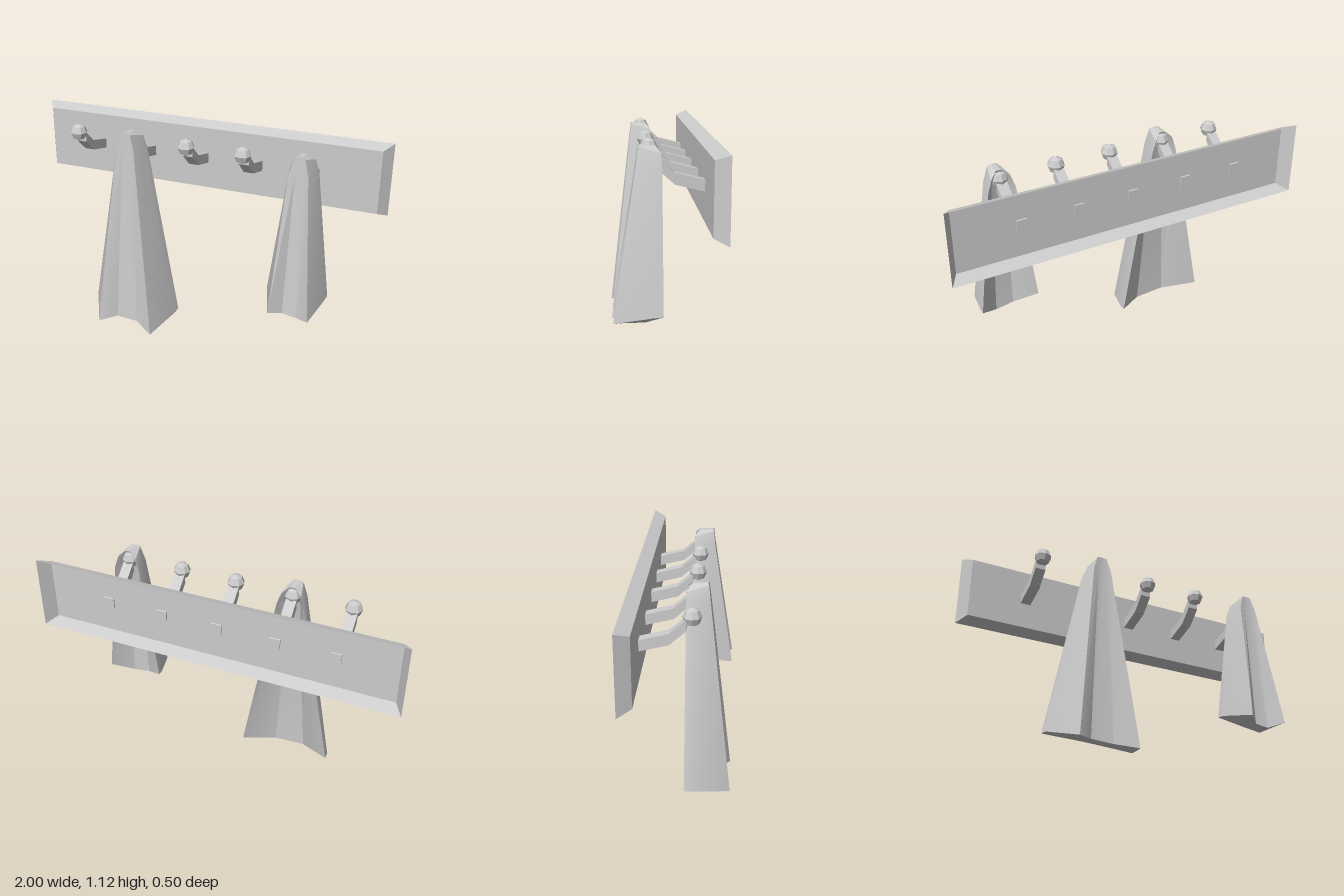
import * as THREE from 'three';
import { toCreasedNormals } from 'three/addons/utils/BufferGeometryUtils.js';

const grey = new THREE.MeshStandardMaterial({ color: 0xcccccc, side: THREE.DoubleSide });
grey.name = 'grey';

// Skin a list of equal-length loops (counter-clockwise seen from the last loop's end).
function loft(loops, endCap, startCap, crease) {
  const n = loops[0].length;
  const index = [];
  for (let r = 0; r < loops.length - 1; r++) {
    for (let i = 0; i < n; i++) {
      const a = r * n + i, b = r * n + (i + 1) % n;
      index.push(a, b, b + n, a, b + n, a + n);
    }
  }
  const last = (loops.length - 1) * n;
  for (const [a, b, c] of endCap) index.push(last + a, last + b, last + c);
  for (const [a, b, c] of startCap) index.push(a, c, b);
  const geometry = new THREE.BufferGeometry();
  geometry.setAttribute('position', new THREE.Float32BufferAttribute(loops.flat(2), 3));
  geometry.setIndex(index);
  return toCreasedNormals(geometry, crease);
}

function addMesh(parent, name, geometry) {
  const mesh = new THREE.Mesh(geometry, grey);
  mesh.name = name;
  parent.add(mesh);
  return mesh;
}

const quadCap = [[0, 1, 2], [0, 2, 3]];
const rect = (hx, y0, y1, z0, z1 = z0) =>
  [[-hx, y0, z0], [hx, y0, z0], [hx, y1, z1], [-hx, y1, z1]];

// Towel section: back, side, front and middle of the left half, mirrored, then the rear fold.
const foldCap = [[0, 1, 9], [1, 2, 3], [1, 3, 9], [9, 3, 4], [9, 4, 8], [8, 4, 6], [4, 5, 6], [8, 6, 7]];
function section(x, [back, side, front, mid, fold]) {
  const left = ([dx, y, z]) => [x - dx, y, z];
  const right = ([dx, y, z]) => [x + dx, y, z];
  return [left(back), left(side), left(front), left(mid),
    right(mid), right(front), right(side), right(back), right(fold), left(fold)];
}

function towel(x, hem) {
  const shoulder = [[0.073, 1.02, 0.018], [0.073, 1.02, 0.045], [0.05, 1.03, 0.137], [0.02, 1.03, 0.128], [0.03, 1.02, 0.085]];
  const top = [[0.05, 1.085, 0.02], [0.05, 1.09, 0.04], [0.028, 1.112, 0.127], [0.012, 1.118, 0.124], [0.015, 1.115, 0.045]];
  return loft([hem, section(x, shoulder), section(x, top)], foldCap, foldCap, 0.45);
}

export function createModel() {
  const model = new THREE.Group();
  model.name = 'towelRack';

  // Bevelled wall board, open at the back
  addMesh(model, 'board', loft(
    [rect(1, 0.727, 1.122, -0.252), rect(0.955, 0.755, 1.096, -0.185)], quadCap, [], 0.2));

  // Five bent hooks with faceted knobs
  const armGeometry = loft([
    rect(0.028, 0.898, 0.953, -0.192),
    rect(0.028, 0.934, 0.99, -0.045),
    rect(0.028, 1.005, 1.06, 0.035),
  ], quadCap, quadCap, 0.2);
  const knobGeometry = toCreasedNormals(new THREE.SphereGeometry(0.046, 8, 4), 0.2);
  for (const x of [-0.642, -0.326, -0.01, 0.3, 0.61]) {
    const hook = new THREE.Group();
    hook.name = 'hook';
    hook.position.x = x;
    addMesh(hook, 'arm', armGeometry);
    addMesh(hook, 'knob', knobGeometry).position.set(0, 1.065, 0.06);
    model.add(hook);
  }

  // Large towel
  addMesh(model, 'largeTowel', towel(-0.325, [
    [-0.58, 0.085, 0.016], [-0.575, 0.08, 0.065], [-0.47, 0.02, 0.25], [-0.385, 0.035, 0.185],
    [-0.265, 0.028, 0.185], [-0.15, 0.004, 0.25], [-0.085, 0.055, 0.065], [-0.08, 0.062, 0.016],
    [-0.24, 0.025, 0.13], [-0.41, 0.035, 0.13]]));

  // Small towel
  addMesh(model, 'smallTowel', towel(0.615, [
    [0.455, 0.357, 0.016], [0.46, 0.352, 0.06], [0.525, 0.303, 0.25], [0.585, 0.283, 0.19],
    [0.66, 0.272, 0.19], [0.735, 0.295, 0.25], [0.772, 0.332, 0.06], [0.776, 0.337, 0.016],
    [0.67, 0.275, 0.1], [0.57, 0.29, 0.1]]));

  return model;
}
